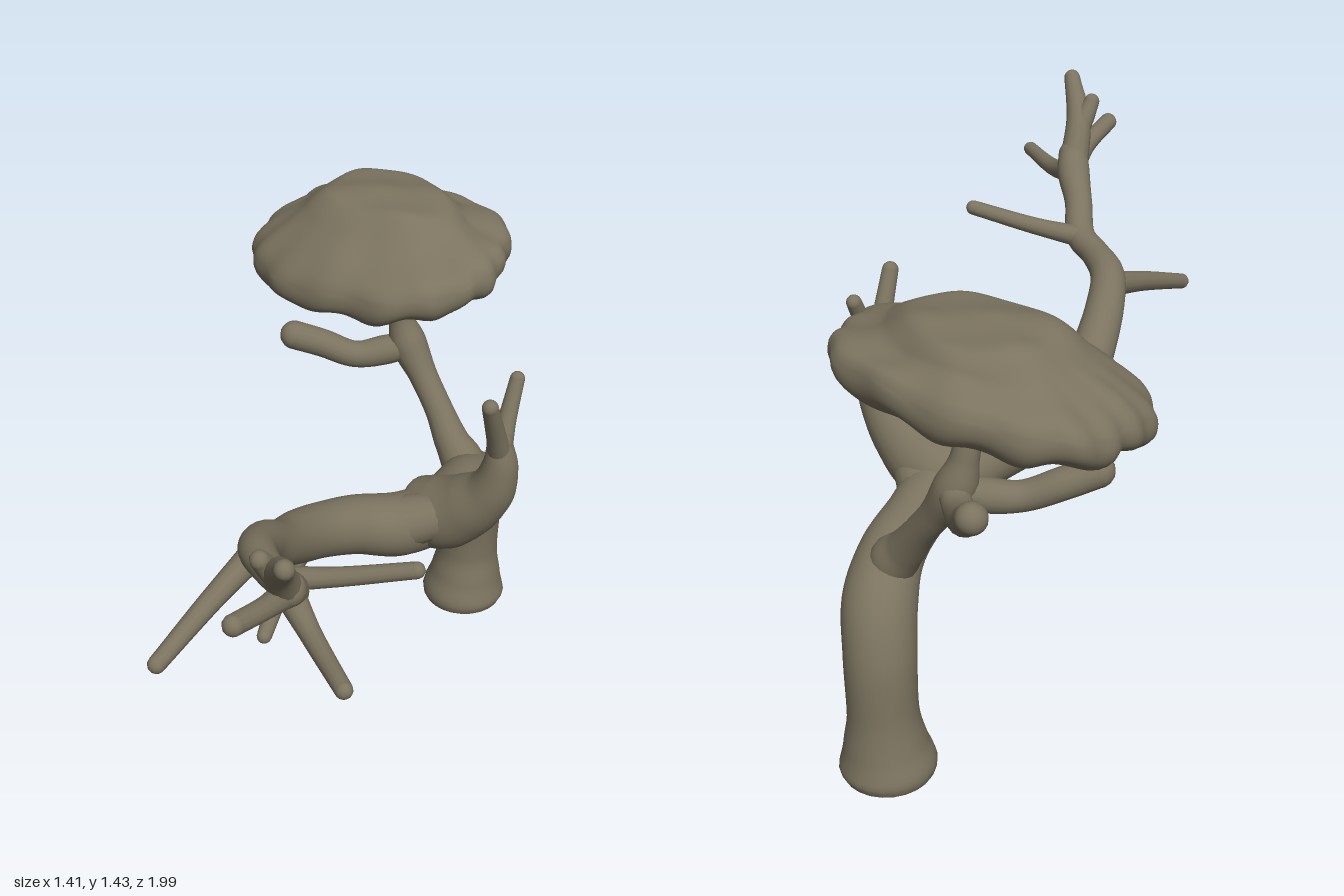
import * as THREE from 'three';
import { mergeGeometries, mergeVertices } from 'three/addons/utils/BufferGeometryUtils.js';

const bark = new THREE.MeshStandardMaterial({ color: 0x7b735f });
bark.name = 'grey brown bark';

// Drops seams so that the normals run smoothly around a closed surface
function weld(geo) {
  geo.deleteAttribute('uv');
  geo.deleteAttribute('normal');
  const g = mergeVertices(geo, 1e-5);
  g.computeVertexNormals();
  return g;
}

// Tapered limb with a round tip; each point is [x, y, z, radius]
function limb(name, pts, sides = 16) {
  const curve = new THREE.CatmullRomCurve3(pts.map(p => new THREE.Vector3(p[0], p[1], p[2])));
  const radii = new THREE.CatmullRomCurve3(pts.map((p, i) => new THREE.Vector3(p[3], i, 0)), false, 'catmullrom', 0.4);
  const segs = pts.length * 8;
  const tube = new THREE.TubeGeometry(curve, segs, 1, sides);
  const pos = tube.attributes.position;
  const v = new THREE.Vector3();
  for (let i = 0; i <= segs; i++) {
    const c = curve.getPointAt(i / segs);
    const r = radii.getPoint(curve.getUtoTmapping(i / segs)).x;
    for (let j = 0; j <= sides; j++) {
      const k = i * (sides + 1) + j;
      v.fromBufferAttribute(pos, k).sub(c).multiplyScalar(r).add(c);
      pos.setXYZ(k, v.x, v.y, v.z);
    }
  }
  const [x, y, z, r] = pts[pts.length - 1];
  const tip = new THREE.SphereGeometry(r, sides, 10).translate(x, y, z);
  const mesh = new THREE.Mesh(mergeGeometries([weld(tube), weld(tip)]), bark);
  mesh.name = name;
  return mesh;
}

// Flat, tilted crown with an uneven rim and a raised plateau set towards the back
function crown() {
  const profile = [
    [0, -0.06], [0.25, -0.062], [0.5, -0.062], [0.68, -0.06], [0.82, -0.053], [0.92, -0.04], [0.98, -0.018],
    [1, 0.01], [0.985, 0.04], [0.94, 0.066], [0.86, 0.088], [0.76, 0.108], [0.66, 0.13], [0.57, 0.16],
    [0.47, 0.186], [0.34, 0.196], [0.18, 0.2], [0, 0.202],
  ].map(p => new THREE.Vector2(...p));
  const pts = new THREE.SplineCurve(profile).getPoints(60);
  pts[0].x = pts[60].x = 0;
  const geo = new THREE.LatheGeometry(pts, 120);
  const pos = geo.attributes.position;
  for (let i = 0; i < pos.count; i++) {
    const x = pos.getX(i), y = pos.getY(i), z = pos.getZ(i);
    const d = Math.hypot(x, z), a = Math.atan2(z, x);
    const rim = THREE.MathUtils.smoothstep(d, 0.5, 1);
    const low = 1 - THREE.MathUtils.smoothstep(y, 0.05, 0.19);
    // Slightly squared outline with small lobes
    const square = 0.03 * (1 - Math.cos(4 * a)) - 0.005;
    const lobes = 0.014 * Math.sin(17 * a + 2 * Math.sin(2 * a)) + 0.016 * Math.sin(7 * a + 1);
    const s = 1 + rim * (square + lobes) + (1 - low) * 0.05 * Math.sin(3 * a + 1);
    const knobs = y < 0.03 ? 0.008 * Math.sin(11 * a + 1) * Math.sin(12 * d) * THREE.MathUtils.smoothstep(d, 0.3, 0.8) : 0;
    const swell = 0.007 * Math.sin(8 * x + 2) * Math.sin(9 * z + 1);
    const tilt = low * (0.035 * x - 0.045 * z);
    pos.setXYZ(i, -0.298 + 0.402 * x * s, 1.22 + y + knobs + swell + tilt, -0.695 + 0.295 * z * s - 0.04 * (1 - low));
  }
  const mesh = new THREE.Mesh(weld(geo), bark);
  mesh.name = 'crown';
  return mesh;
}

export function createModel() {
  const tree = new THREE.Group();
  tree.name = 'leaningTree';

  // Trunk that bends over into the long main limb
  tree.add(limb('trunkAndMainLimb', [
    [-0.005, 0.003, -0.795, 0.124], [-0.005, 0.03, -0.795, 0.134], [-0.002, 0.1, -0.798, 0.115],
    [0, 0.2, -0.8, 0.097], [0.012, 0.38, -0.785, 0.099], [0.045, 0.5, -0.735, 0.101],
    [0.085, 0.575, -0.63, 0.09], [0.11, 0.61, -0.5, 0.084], [0.125, 0.63, -0.38, 0.092],
    [0.1, 0.665, -0.22, 0.094], [0.03, 0.705, -0.1, 0.086], [-0.008, 0.74, 0.02, 0.08],
    [-0.012, 0.775, 0.12, 0.076], [0.012, 0.83, 0.23, 0.065], [0.045, 0.92, 0.35, 0.057],
    [0.1, 0.975, 0.45, 0.051], [0.19, 0.998, 0.52, 0.043], [0.27, 1.018, 0.565, 0.044],
    [0.335, 1.085, 0.65, 0.042], [0.4, 1.15, 0.72, 0.05], [0.425, 1.19, 0.755, 0.045],
  ], 24));
  const sole = new THREE.Mesh(new THREE.CircleGeometry(0.126, 24).rotateX(Math.PI / 2).translate(-0.005, 0.002, -0.795), bark);
  sole.name = 'trunkBase';
  tree.add(sole);

  // Thick side limb, rooted inside the main limb, and its fork
  tree.add(limb('sideLimb', [
    [0.05, 0.65, -0.33, 0.03], [0.1, 0.66, -0.33, 0.095], [0.19, 0.685, -0.325, 0.11], [0.28, 0.752, -0.322, 0.093],
    [0.345, 0.83, -0.32, 0.07], [0.37, 0.92, -0.318, 0.052], [0.367, 1, -0.315, 0.036],
  ], 20));
  // Webs that soften the corners where the side limb leaves the main limb
  tree.add(limb('backWeb', [[0.09, 0.62, -0.52, 0.05], [0.14, 0.64, -0.42, 0.068], [0.22, 0.69, -0.36, 0.06]]));
  tree.add(limb('frontWeb', [[0.06, 0.69, -0.13, 0.055], [0.11, 0.682, -0.21, 0.078], [0.2, 0.705, -0.28, 0.07]]));
  tree.add(limb('sideForkFront', [[0.368, 0.95, -0.32, 0.036], [0.375, 1.05, -0.275, 0.028], [0.385, 1.17, -0.217, 0.023]]));
  tree.add(limb('sideForkBack', [[0.368, 0.95, -0.312, 0.036], [0.36, 1.05, -0.36, 0.026], [0.355, 1.155, -0.412, 0.021]]));

  // Stem carrying the crown, with two stubby boughs
  tree.add(limb('crownStem', [
    [0.06, 0.54, -0.68, 0.03], [0.035, 0.6, -0.685, 0.066], [-0.015, 0.66, -0.692, 0.054], [-0.075, 0.74, -0.71, 0.044],
    [-0.145, 0.83, -0.725, 0.044], [-0.21, 0.93, -0.73, 0.056], [-0.235, 1.02, -0.72, 0.037],
    [-0.24, 1.11, -0.705, 0.038], [-0.245, 1.19, -0.7, 0.065],
  ]));
  tree.add(limb('frontBough', [
    [-0.2, 0.925, -0.73, 0.04], [-0.265, 0.903, -0.685, 0.046], [-0.335, 0.893, -0.625, 0.041],
    [-0.42, 0.93, -0.57, 0.043], [-0.487, 0.962, -0.515, 0.044],
  ]));
  tree.add(limb('backBough', [
    [-0.2, 0.93, -0.73, 0.04], [-0.265, 0.91, -0.79, 0.04], [-0.33, 0.94, -0.86, 0.038], [-0.395, 0.998, -0.915, 0.041],
  ]));

  // Thin twigs, each from root to tip
  const twigs = [
    ['upperTwig', [0.41, 1.15, 0.73, 0.046], [0.445, 1.28, 0.815, 0.038], [0.525, 1.38, 0.9, 0.025]],
    ['upperTwigStub', [0.435, 1.24, 0.79, 0.034], [0.428, 1.29, 0.825, 0.03], [0.422, 1.335, 0.855, 0.024]],
    ['forwardTwig', [0.41, 1.16, 0.73, 0.038], [0.43, 1.195, 0.84, 0.029], [0.435, 1.23, 0.973, 0.027]],
    ['outerTwig', [0.4, 1.15, 0.72, 0.038], [0.52, 1.115, 0.79, 0.027], [0.684, 1.11, 0.897, 0.022]],
    ['backTwig', [0.25, 1.02, 0.56, 0.034], [0.38, 1.045, 0.5, 0.026], [0.565, 1.095, 0.415, 0.022]],
    ['lowerTwig', [0.085, 0.96, 0.42, 0.04], [0.072, 0.905, 0.6, 0.031], [0.058, 0.825, 0.82, 0.024]],
    ['underTwig', [-0.03, 0.735, 0.08, 0.05], [0.005, 0.69, 0.21, 0.031], [0.065, 0.63, 0.385, 0.021]],
  ];
  for (const [name, ...pts] of twigs) tree.add(limb(name, pts, 12));

  tree.add(crown());
  return tree;
}
